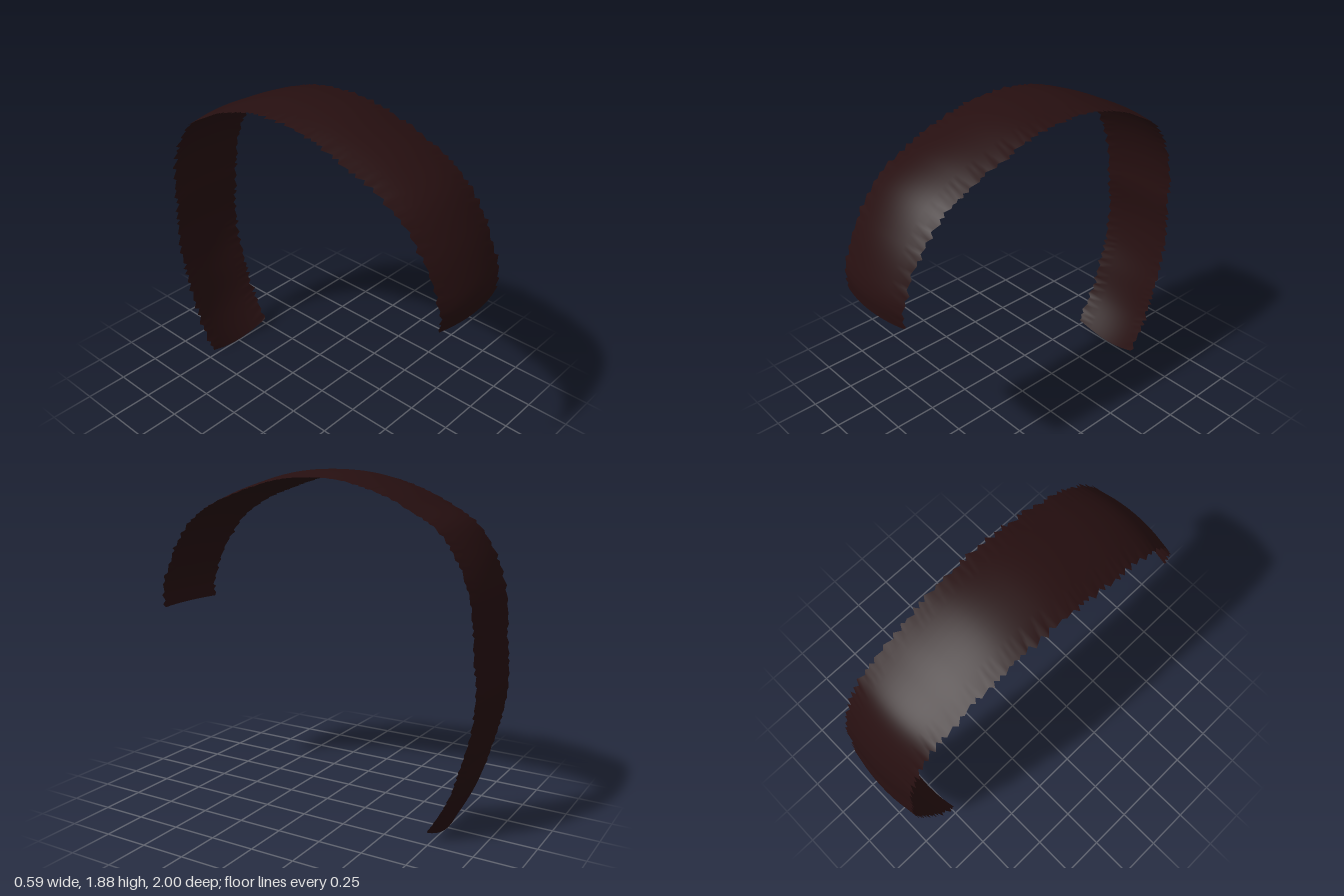
import * as THREE from 'three';

// Spine of the strip as [z, y], from the front tip over the crown to the nape
const SPINE = [
  [0.995, 1.07], [1.0, 1.17], [0.96, 1.3], [0.88, 1.46], [0.75, 1.625], [0.57, 1.735],
  [0.354, 1.815], [0.16, 1.865], [-0.02, 1.88], [-0.236, 1.865], [-0.45, 1.8], [-0.61, 1.727],
  [-0.78, 1.63], [-0.88, 1.496], [-0.944, 1.34], [-0.974, 1.18], [-0.98, 1.045],
  [-1.0, 0.83], [-0.98, 0.617], [-0.933, 0.43], [-0.87, 0.225], [-0.755, 0],
];
// Evenly spaced values along the spine: half width, and how far the edges sink inwards
const HALF_WIDTH = [0.24, 0.25, 0.265, 0.275, 0.27, 0.262, 0.253, 0.25, 0.245, 0.235, 0.23, 0.23, 0.23];
const SINK = [0.03, 0.03, 0.04, 0.042, 0.036, 0.03, 0.02, 0.028, 0.025, 0.025, 0.027, 0.032, 0.045];

function sample(list, t) {
  const f = t * (list.length - 1);
  const i = Math.min(Math.floor(f), list.length - 2);
  return THREE.MathUtils.lerp(list[i], list[i + 1], f - i);
}

function seeded(seed) {
  return () => {
    seed = (seed * 16807) % 2147483647;
    return seed / 2147483647;
  };
}

// Ragged edge: short teeth that widen gradually and then step back in
function raggedEdge(rows, seed) {
  const random = seeded(seed);
  const offsets = [];
  while (offsets.length <= rows) {
    const count = 2 + Math.floor(random() * 3);
    const inner = -0.018 + random() * 0.014;
    const outer = 0.002 + random() * 0.018;
    for (let k = 0; k < count; k++) offsets.push(THREE.MathUtils.lerp(inner, outer, k / (count - 1)));
  }
  return offsets;
}

function stripGeometry(rows, cols) {
  const curve = new THREE.CatmullRomCurve3(SPINE.map(([z, y]) => new THREE.Vector3(0, y, z)));
  const edges = [raggedEdge(rows, 417), raggedEdge(rows, 9241)];
  const positions = [];
  const indices = [];
  for (let i = 0; i <= rows; i++) {
    const t = i / rows;
    const p = curve.getPointAt(t);
    const d = curve.getTangentAt(t);
    const half = sample(HALF_WIDTH, t);
    // the nape end is cut to a rounded point
    const cut = 0.04 * THREE.MathUtils.smoothstep(t, 0.88, 1);
    for (let j = 0; j <= cols; j++) {
      const u = (j / cols) * 2 - 1;
      let x = u * half * 0.97;
      if (j === 0) x = -half - edges[0][i];
      if (j === cols) x = half + edges[1][i];
      const sink = sample(SINK, t) * u * u;
      const back = cut * u * u;
      // inward direction is the tangent turned a quarter in the side plane
      positions.push(x, p.y + d.z * sink - d.y * back, p.z - d.y * sink - d.z * back);
      if (i < rows && j < cols) {
        const a = i * (cols + 1) + j;
        const b = a + cols + 1;
        indices.push(a, a + 1, b, a + 1, b + 1, b);
      }
    }
  }
  const geometry = new THREE.BufferGeometry();
  geometry.setAttribute('position', new THREE.Float32BufferAttribute(positions, 3));
  geometry.setIndex(indices);
  geometry.computeVertexNormals();
  return geometry;
}

export function createModel() {
  const darkHair = new THREE.MeshStandardMaterial({ color: 0x260f10, side: THREE.DoubleSide });
  darkHair.name = 'darkHair';

  const group = new THREE.Group();
  group.name = 'hairStrip';
  const strip = new THREE.Mesh(stripGeometry(210, 10), darkHair);
  strip.name = 'raggedHairBand';
  group.add(strip);
  return group;
}
